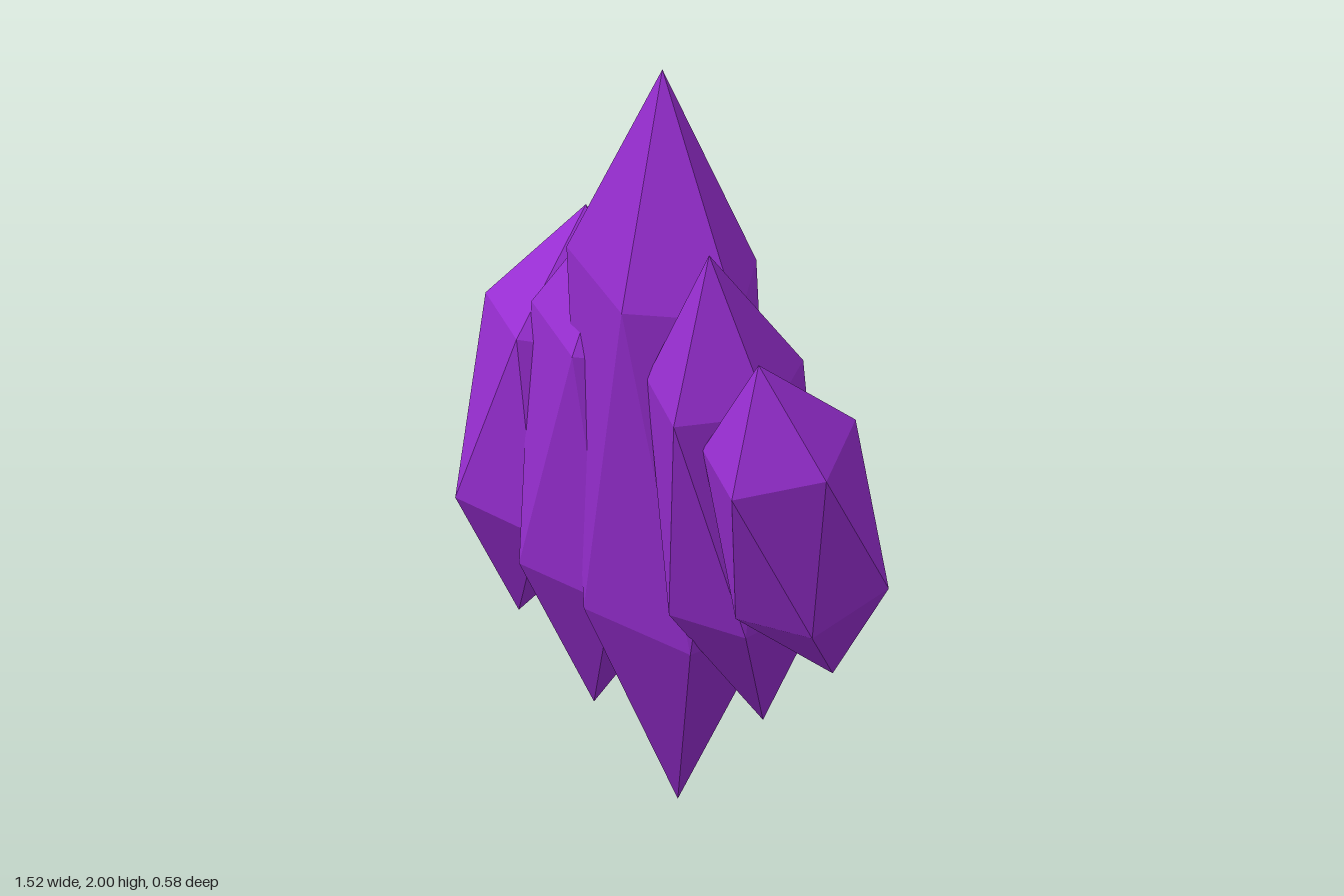
import * as THREE from 'three';

const crystalMaterial = new THREE.MeshStandardMaterial({ color: 0x9b2fd6 });
crystalMaterial.name = 'crystal purple';
crystalMaterial.flatShading = true;

const UP = new THREE.Vector3(0, 1, 0);

// A stretched icosahedron standing on one vertex, leaning along the line
// from its middle to its tip; rx and rz are the radii of its five-sided rings.
function crystal(name, middle, tip, rx, rz) {
  const c = new THREE.Vector3(...middle);
  const axis = new THREE.Vector3(...tip).sub(c);
  const ring = 2 / Math.sqrt(5);
  const geometry = new THREE.IcosahedronGeometry(1, 0);
  geometry.rotateZ(-Math.atan(2 / (1 + Math.sqrt(5))));
  geometry.scale(rx / ring, axis.length(), rz / ring);
  geometry.applyQuaternion(
    new THREE.Quaternion().setFromUnitVectors(UP, axis.clone().normalize()));
  geometry.translate(c.x, c.y, c.z);
  geometry.computeVertexNormals();
  const mesh = new THREE.Mesh(geometry, crystalMaterial);
  mesh.name = name;
  return mesh;
}

export function createModel() {
  const group = new THREE.Group();
  group.name = 'crystalCluster';
  group.add(
    crystal('centreCrystal', [0, 1, 0], [0.25, 2, 0.205], 0.3, 0.215),
    crystal('innerLeftCrystal', [0.275, 0.92, 0], [0.445, 1.57, 0.205], 0.19, 0.21),
    crystal('outerLeftCrystal', [0.523, 0.89, 0], [0.637, 1.33, 0.195], 0.19, 0.207),
    crystal('innerRightCrystal', [-0.24, 0.935, 0], [-0.06, 1.64, 0.075], 0.25, 0.212),
    crystal('outerRightCrystal', [-0.49, 0.97, 0], [-0.35, 1.51, 0], 0.217, 0.212),
  );
  return group;
}
